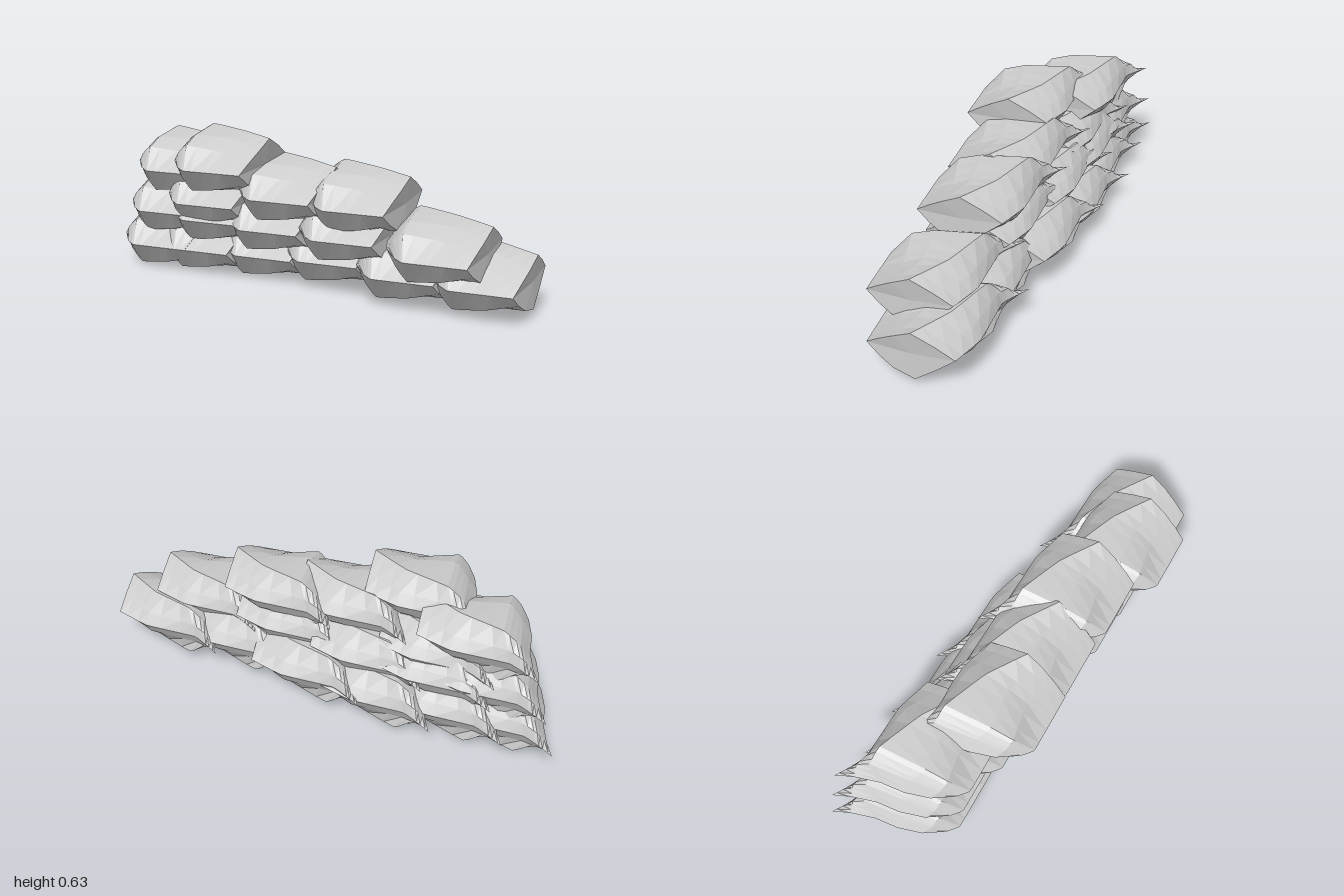
import * as THREE from 'three';

// Cross-sections of one stone, from the left blade edge to the flat right end.
// Corner order: front ridge, over the top, back ridge, under the bottom.
// The origin is the pointed back-left horn.
const blade = [[0.18, -0.01, 0.45], [0.12, 0, 0.37], [0.085, 0, 0.27], [0.07, 0, 0.17],
  [0.035, 0, 0.07], [0, 0, 0]];
const sections = [
  [...blade, ...blade.slice(1, 5).reverse()],
  // swelling behind the blade
  [[0.205, -0.012, 0.47], [0.155, 0.04, 0.395], [0.13, 0.06, 0.28], [0.1, 0.07, 0.11], [0.075, 0.045, 0.06],
    [0.06, 0.004, 0.035], [0.075, -0.035, 0.07], [0.1, -0.06, 0.1], [0.135, -0.07, 0.25], [0.17, -0.06, 0.4]],
  // boxy left shoulder
  [[0.23, -0.015, 0.485], [0.2, 0.075, 0.405], [0.19, 0.104, 0.31], [0.17, 0.12, 0.115], [0.14, 0.06, 0.08],
    [0.13, 0.01, 0.065], [0.14, -0.045, 0.095], [0.17, -0.105, 0.09], [0.2, -0.125, 0.25], [0.22, -0.115, 0.4]],
  // middle
  [[0.36, -0.015, 0.48], [0.36, 0.052, 0.37], [0.36, 0.094, 0.285], [0.36, 0.112, 0.18], [0.36, 0.055, 0.1],
    [0.36, 0.01, 0.065], [0.36, -0.045, 0.1], [0.36, -0.112, 0.17], [0.36, -0.118, 0.3], [0.36, -0.095, 0.42]],
  // diamond-shaped right end
  [[0.48, -0.015, 0.475], [0.495, 0.025, 0.42], [0.51, 0.066, 0.355], [0.52, 0.108, 0.275], [0.515, 0.065, 0.185],
    [0.51, 0.018, 0.105], [0.51, -0.05, 0.185], [0.51, -0.115, 0.27], [0.5, -0.095, 0.36], [0.49, -0.06, 0.42]],
];

// Lofts the sections along tight rails and closes the right end with a fan.
function stoneGeometry() {
  const steps = 12, sides = sections[0].length;
  const rails = sections[0].map((_, j) =>
    new THREE.CatmullRomCurve3(sections.map(s => new THREE.Vector3(...s[j])), false, 'catmullrom', 0.15));
  const pos = [], index = [];
  for (let i = 0; i <= steps; i++) {
    for (const rail of rails) pos.push(...rail.getPoint(i / steps).toArray());
  }
  for (let i = 0; i < steps; i++) {
    for (let j = 0; j < sides; j++) {
      const k = (j + 1) % sides;
      const a = i * sides + j, b = a + sides, d = i * sides + k, c = d + sides;
      index.push(a, b, c, a, c, d);
    }
  }
  const centre = pos.length / 3, last = steps * sides;
  pos.push(0.505, 0, 0.28);
  for (let j = 0; j < sides; j++) index.push(centre, last + (j + 1) % sides, last + j);
  const g = new THREE.BufferGeometry();
  g.setAttribute('position', new THREE.Float32BufferAttribute(pos, 3));
  g.setIndex(index);
  g.computeVertexNormals();
  return g;
}

// Horn position of every stone, course by course, left to right.
const courses = {
  bottomCourse: [[-1, 0.13, -0.32], [-0.8, 0.13, -0.33], [-0.51, 0.13, -0.35],
    [-0.2, 0.15, -0.32], [0.16, 0.15, -0.225], [0.48, 0.15, -0.21]],
  middleCourse: [[-0.96, 0.285, -0.32], [-0.74, 0.27, -0.31], [-0.74, 0.35, -0.27],
    [-0.45, 0.265, -0.28], [-0.09, 0.28, -0.21], [0.32, 0.26, -0.14]],
  topCourse: [[-0.91, 0.47, -0.31], [-0.65, 0.52, -0.175], [-0.36, 0.42, -0.2], [-0.04, 0.41, -0.2]],
};

export function createModel() {
  const wall = new THREE.Group();
  wall.name = 'stoneWall';
  const geometry = stoneGeometry();
  const material = new THREE.MeshStandardMaterial({
    color: 0xcccccc, flatShading: true, side: THREE.DoubleSide,
  });
  for (const [name, spots] of Object.entries(courses)) {
    const course = new THREE.Group();
    course.name = name;
    for (const spot of spots) {
      const stone = new THREE.Mesh(geometry, material);
      stone.name = 'stone';
      stone.position.set(...spot);
      course.add(stone);
    }
    wall.add(course);
  }
  return wall;
}
